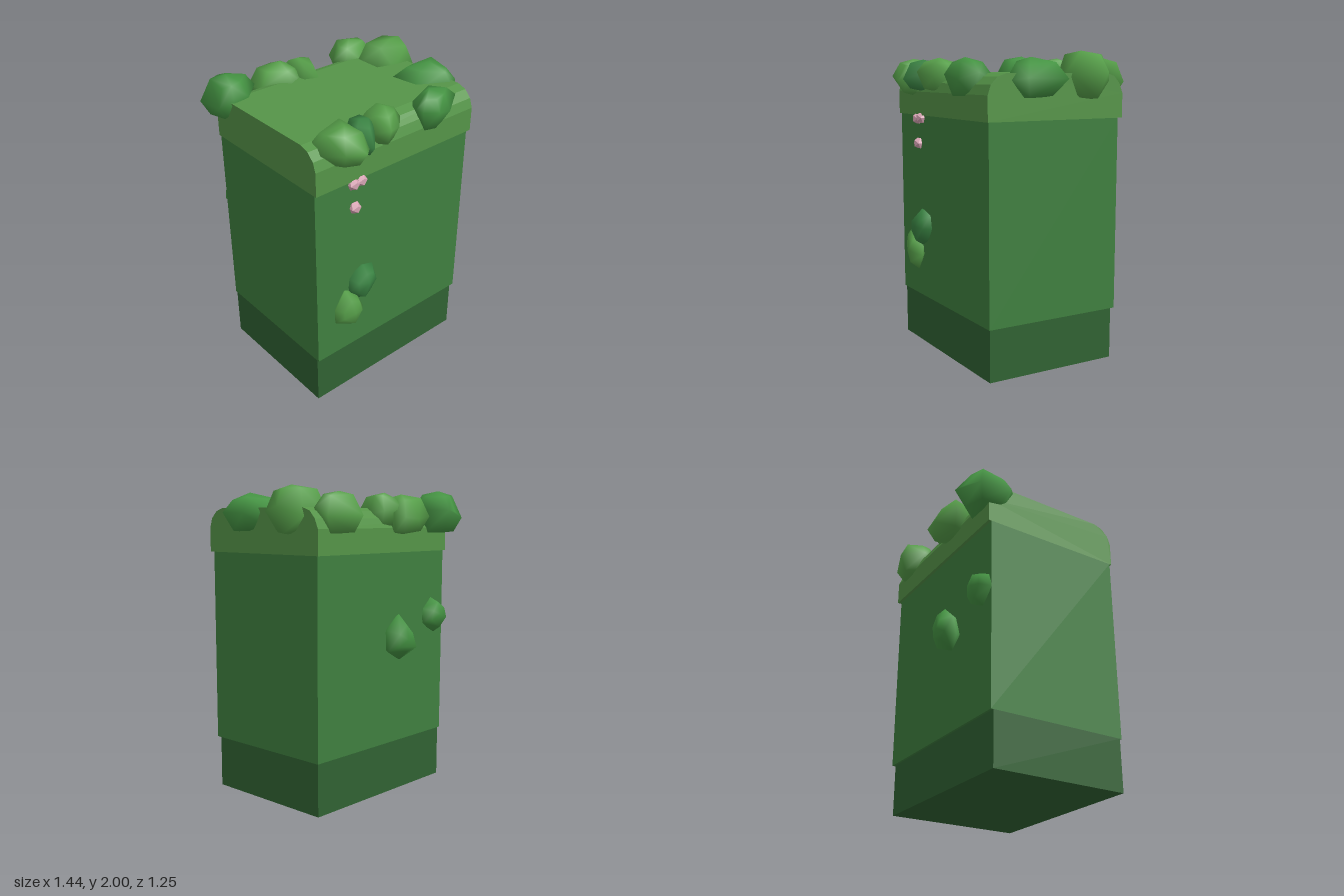
import * as THREE from 'three';
import { mergeVertices } from 'three/addons/utils/BufferGeometryUtils.js';
import { ConvexGeometry } from 'three/addons/geometries/ConvexGeometry.js';

const BASE = 0x306232, BODY = 0x3f7f3f, CAP = 0x559448;
const LIGHT = 0x57a04a, MID = 0x459443, DARK = 0x3a8443, PINK = 0xd9a5b5;

const material = (color, flatShading = false) => new THREE.MeshStandardMaterial({ color, flatShading });

// Small seeded generator, so every bush has its own facets
let seed = 7;
const jitter = (amount) => {
  seed = (seed * 16807) % 2147483647;
  return (seed / 2147483647 - 0.5) * 2 * amount;
};

// Box given by its lower and upper corners
function block(name, color, [x0, y0, z0], [x1, y1, z1]) {
  const mesh = new THREE.Mesh(new THREE.BoxGeometry(x1 - x0, y1 - y0, z1 - z0), material(color));
  mesh.position.set((x0 + x1) / 2, (y0 + y1) / 2, (z0 + z1) / 2);
  mesh.name = name;
  return mesh;
}

// Faceted bush: an outline at its widest level, tapering to lo and hi along its depth axis
function bush(name, color, outline, lo, hi, onWall) {
  const n = outline.length;
  const cu = outline.reduce((s, p) => s + p[0], 0) / n;
  const cv = outline.reduce((s, p) => s + p[1], 0) / n;
  const points = [];
  const add = (u, v, t) => {
    const d = lo + (hi - lo) * t;
    points.push(onWall ? new THREE.Vector3(u, v, d) : new THREE.Vector3(u, d, v));
  };
  for (const [u, v] of outline) {
    add(u, v, 0.5 + jitter(0.13));
    for (const [scale, t] of [[0.62, 0.07], [0.64, 0.87]]) {
      const s = scale + jitter(0.08);
      add(cu + (u - cu) * s, cv + (v - cv) * s, t + jitter(0.06));
    }
  }
  add(cu, cv, 0);
  add(cu + jitter(0.02), cv + jitter(0.02), 1);
  let geometry = new ConvexGeometry(points);
  geometry.deleteAttribute('normal');
  geometry = mergeVertices(geometry, 1e-4);
  geometry.computeVertexNormals();
  const mesh = new THREE.Mesh(geometry, material(color));
  mesh.name = name;
  return mesh;
}

export function createModel() {
  const model = new THREE.Group();
  model.name = 'hedgeBlock';

  // Stacked hedge, flush on the -x end and stepped on the other sides
  model.add(block('base', BASE, [-0.66, 0, -0.445], [0.555, 0.34, 0.467]));
  model.add(block('body', BODY, [-0.66, 0.34, -0.46], [0.573, 1.585, 0.48]));

  // Cap with its long edges rounded in a few facets
  const profile = new THREE.Shape([
    [-0.495, 1.585], [0.48, 1.585], [0.48, 1.74], [0.455, 1.80], [0.415, 1.845], [0.355, 1.865],
    [-0.37, 1.865], [-0.43, 1.845], [-0.475, 1.80], [-0.495, 1.74],
  ].map(([x, y]) => new THREE.Vector2(x, y)));
  const capGeometry = new THREE.ExtrudeGeometry(profile, { depth: 1.25, bevelEnabled: false });
  capGeometry.rotateY(Math.PI / 2).translate(-0.66, 0, 0);
  const cap = new THREE.Mesh(capGeometry, material(CAP, true));
  cap.name = 'cap';
  model.add(cap);

  // Bushes around the rim of the cap: outlines as x, z
  const rim = new THREE.Group();
  rim.name = 'rimBushes';
  const addRim = (color, lo, hi, outline) => rim.add(bush('rimBush', color, outline, lo, hi, false));
  addRim(MID, 1.70, 1.98, [[-0.72, -0.57], [-0.58, -0.61], [-0.49, -0.63], [-0.38, -0.47], [-0.53, -0.31], [-0.65, -0.29], [-0.72, -0.35]]);
  addRim(LIGHT, 1.70, 1.95, [[-0.38, -0.55], [-0.19, -0.61], [-0.07, -0.6], [-0.05, -0.52], [-0.08, -0.33], [-0.21, -0.28], [-0.36, -0.42]]);
  addRim(LIGHT, 1.74, 1.96, [[-0.11, -0.55], [0.02, -0.5], [0.055, -0.41], [-0.02, -0.25], [-0.12, -0.29], [-0.13, -0.44]]);
  addRim(LIGHT, 1.71, 1.96, [[0.245, -0.45], [0.33, -0.6], [0.55, -0.52], [0.54, -0.4], [0.4, -0.32], [0.27, -0.35]]);
  addRim(LIGHT, 1.70, 2.0, [[0.35, -0.34], [0.59, -0.37], [0.72, -0.27], [0.63, -0.08], [0.48, -0.1], [0.36, -0.14]]);
  addRim(MID, 1.71, 1.96, [[0.34, 0.03], [0.47, 0], [0.72, 0.02], [0.67, 0.27], [0.57, 0.35], [0.34, 0.23]]);
  addRim(MID, 1.72, 1.96, [[0.12, 0.47], [0.18, 0.36], [0.36, 0.3], [0.455, 0.47], [0.33, 0.55], [0.21, 0.58], [0.13, 0.52]]);
  addRim(LIGHT, 1.74, 1.96, [[-0.25, 0.36], [-0.05, 0.27], [0.03, 0.43], [-0.06, 0.52], [-0.18, 0.58], [-0.25, 0.5]]);
  addRim(DARK, 1.74, 1.95, [[-0.4, 0.45], [-0.32, 0.345], [-0.23, 0.36], [-0.2, 0.46], [-0.33, 0.61], [-0.4, 0.53]]);
  addRim(LIGHT, 1.71, 1.955, [[-0.61, 0.36], [-0.35, 0.31], [-0.31, 0.37], [-0.33, 0.57], [-0.39, 0.62], [-0.53, 0.6], [-0.6, 0.46]]);
  model.add(rim);

  // Bushes growing from the front and back walls: outlines as x, y
  const walls = new THREE.Group();
  walls.name = 'wallBushes';
  const addWall = (color, lo, hi, outline) => walls.add(bush('wallBush', color, outline, lo, hi, true));
  addWall(LIGHT, 0.42, 0.56, [[-0.53, 0.6], [-0.53, 0.7], [-0.45, 0.82], [-0.35, 0.75], [-0.31, 0.63], [-0.4, 0.52]]);
  addWall(DARK, 0.4, 0.56, [[-0.41, 0.78], [-0.41, 0.88], [-0.31, 0.955], [-0.22, 0.92], [-0.19, 0.83], [-0.27, 0.73], [-0.33, 0.7]]);
  addWall(MID, -0.56, -0.38, [[-0.05, 0.95], [-0.05, 1.09], [-0.15, 1.19], [-0.25, 1.1], [-0.31, 0.94], [-0.2, 0.88]]);
  addWall(MID, -0.535, -0.38, [[-0.44, 1.1], [-0.44, 1.2], [-0.53, 1.28], [-0.64, 1.22], [-0.665, 1.12], [-0.57, 1.02]]);
  model.add(walls);

  // Small pink blossoms on the front
  const blossoms = new THREE.Group();
  blossoms.name = 'blossoms';
  for (const [x, y] of [[-0.38, 1.56], [-0.323, 1.567], [-0.368, 1.395]]) {
    const blossom = new THREE.Mesh(new THREE.IcosahedronGeometry(0.041), material(PINK, true));
    blossom.position.set(x, y, 0.485);
    blossom.name = 'blossom';
    blossoms.add(blossom);
  }
  model.add(blossoms);

  return model;
}
